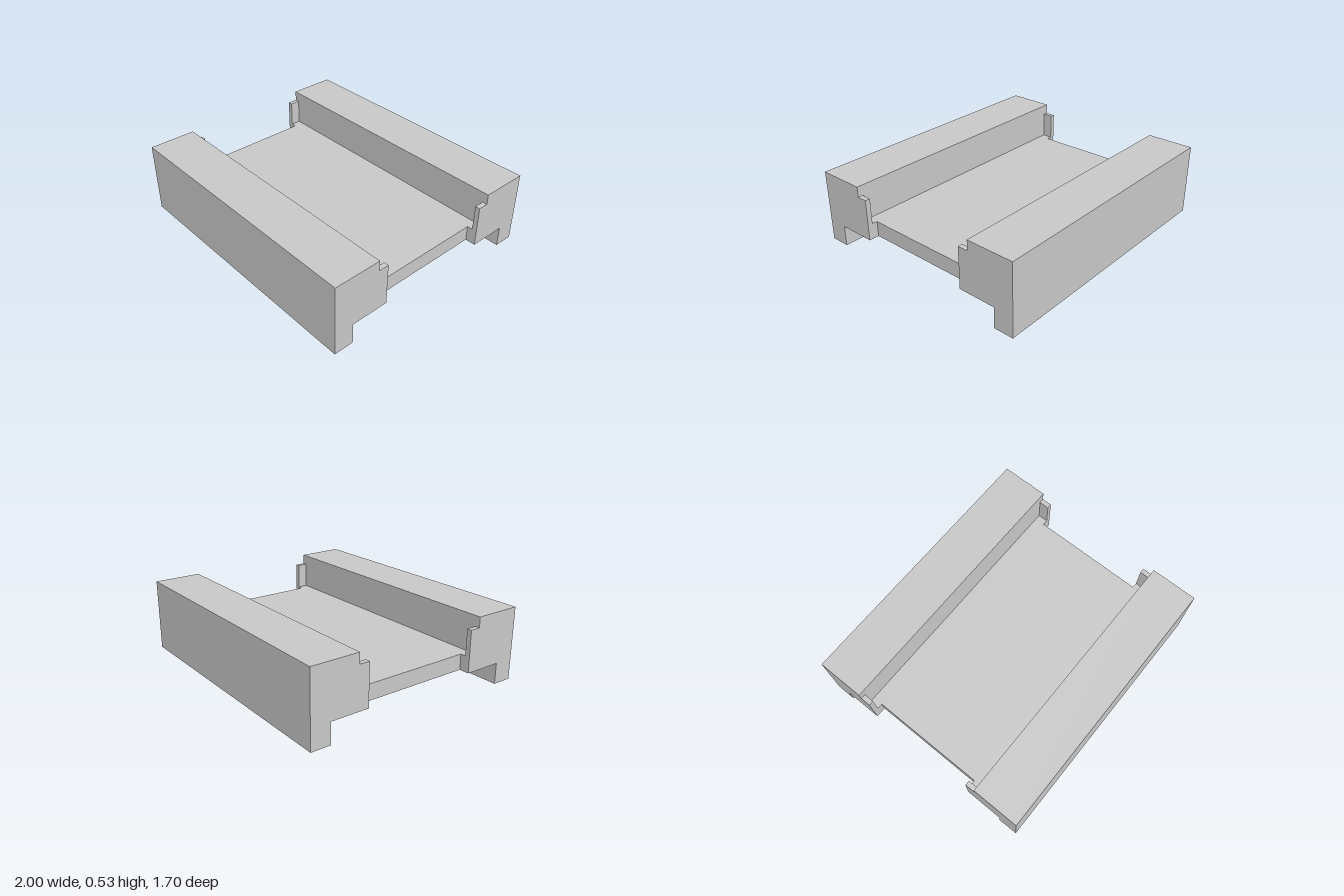
import * as THREE from 'three';

export function createModel() {
  const model = new THREE.Group();
  model.name = 'channelBase';
  const grey = new THREE.MeshStandardMaterial({ color: 0xc7c7c7 });
  grey.name = 'lightGrey';

  const add = (name, geometry) => {
    const mesh = new THREE.Mesh(geometry, grey);
    mesh.name = name;
    model.add(mesh);
    return mesh;
  };
  const extrude = (points, depth) => new THREE.ExtrudeGeometry(
    new THREE.Shape(points.map(([x, y]) => new THREE.Vector2(x, y))),
    { depth, bevelEnabled: false });

  // Deck with wider end strips that carry the corner tabs
  const bottom = 0.152, deckTop = 0.265;
  const deck = extrude([
    [-1, -0.5], [1, -0.5], [1, -0.425], [0.925, -0.425], [0.925, 0.425], [1, 0.425],
    [1, 0.5], [-1, 0.5], [-1, 0.425], [-0.925, 0.425], [-0.925, -0.425], [-1, -0.425],
  ], deckTop - bottom);
  deck.rotateX(-Math.PI / 2).translate(0, bottom, 0);
  add('deck', deck);

  for (const side of [1, -1]) {
    const end = side > 0 ? 'front' : 'back';

    // Side rail with its outer foot, one L-shaped section along x
    const rail = extrude([
      [0.5, bottom], [0.703, bottom], [0.703, 0], [0.848, 0], [0.848, 0.53], [0.5, 0.53],
    ], 2);
    rail.translate(0, 0, -1).rotateY(-side * Math.PI / 2);
    add(end + 'Rail', rail);

    // Upright tabs at the two ends of the rail
    for (const x of [1, -1]) {
      const tab = add(end + (x > 0 ? 'Left' : 'Right') + 'Tab',
        new THREE.BoxGeometry(0.036, 0.455 - deckTop, 0.075));
      tab.position.set(x * 0.982, (0.455 + deckTop) / 2, side * 0.4625);
    }
  }
  return model;
}
